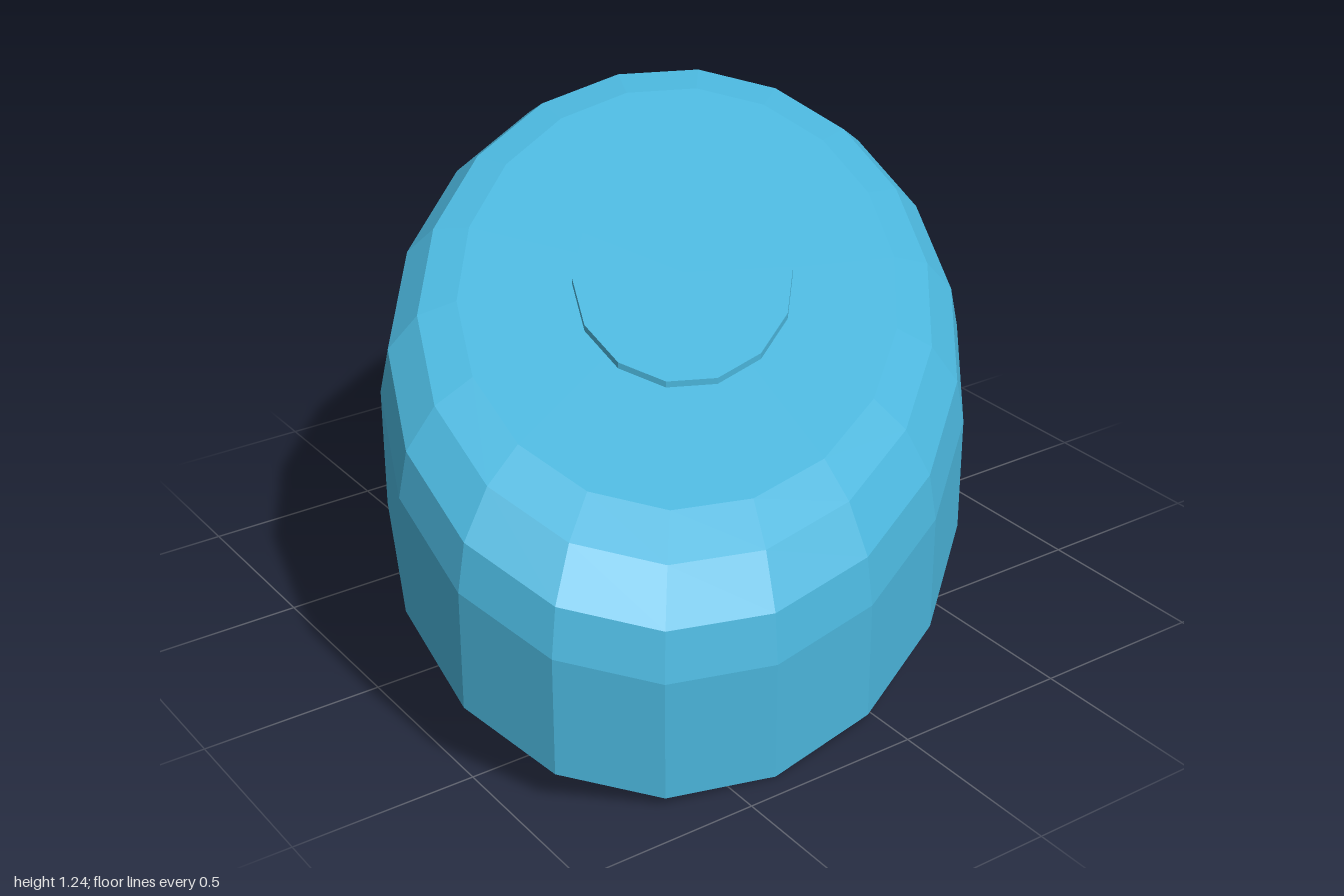
import * as THREE from 'three';

const R = 0.935;     // outer radius before slanting
const SLANT = 0.403; // shift of x and y per unit of z

export function createModel() {
  const group = new THREE.Group();
  group.name = 'slantedButton';
  const material = new THREE.MeshStandardMaterial({ color: 0x4ab4da, flatShading: true });

  // Shear a round form so that it leans in x and climbs towards the back
  const shear = new THREE.Matrix4().set(
    1, 0, -SLANT, 0,
    0, 1, -SLANT, SLANT * R,
    0, 0, 1, 0,
    0, 0, 0, 1
  );

  // Turn a profile of [radius, height] points and slant it
  function addTurned(name, profile, sides) {
    const points = profile.map(([r, y]) => new THREE.Vector2(r, y));
    const geometry = new THREE.LatheGeometry(points, sides).applyMatrix4(shear);
    const mesh = new THREE.Mesh(geometry, material);
    mesh.name = name;
    group.add(mesh);
  }

  // Body: flat base, upright wall, rounded shoulder, flat top
  addTurned('body', [
    [0, 0], [R, 0], [R, 0.33], [0.907, 0.448], [0.817, 0.535], [0.7, 0.565], [0, 0.565],
  ], 18);

  // Thin raised disc in the middle of the top
  addTurned('centreDisc', [[0, 0.555], [0.352, 0.555], [0.352, 0.582], [0, 0.582]], 14);

  return group;
}
